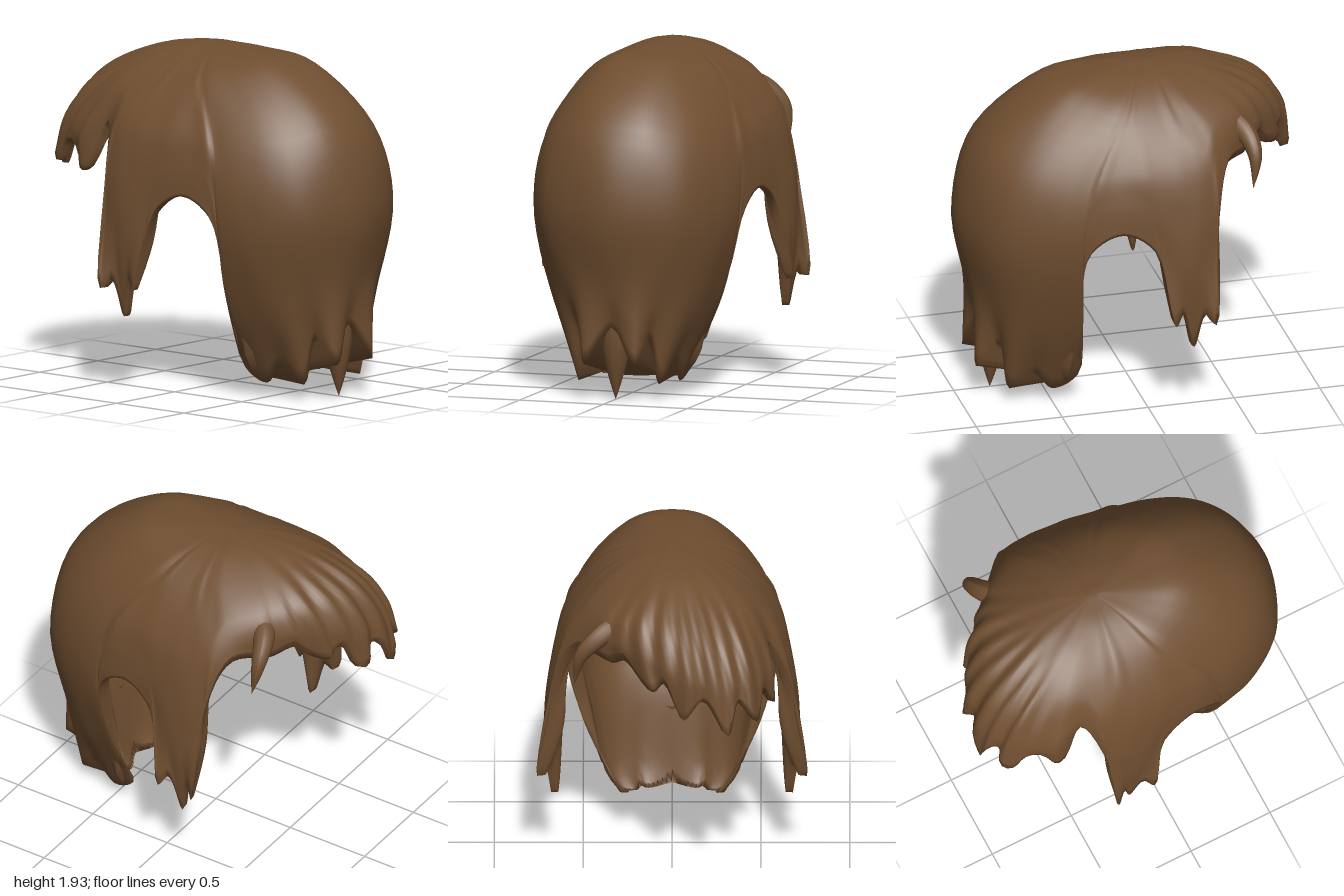
import * as THREE from 'three';
import { mergeVertices } from 'three/addons/utils/BufferGeometryUtils.js';

const V = (p) => new THREE.Vector3(...p);
const { smoothstep, lerp } = THREE.MathUtils;
const CROWN = V([0, 1.93, -0.1]);

// Strand guides, crown to hem, five points each; hems alternate tips and notches.
// Long drape, centre to edge
const drape = [
  [[0, 1.86, 0.48], [0, 1.55, 0.87], [0, 1.1, 1.0], [0, 0.65, 0.92], [0, 0.42, 0.86]],
  [[0.11, 1.86, 0.46], [0.19, 1.54, 0.84], [0.22, 1.09, 0.95], [0.17, 0.63, 0.9], [0.15, 0.21, 0.91]],
  [[0.2, 1.85, 0.41], [0.35, 1.5, 0.75], [0.4, 1.08, 0.85], [0.28, 0.6, 0.83], [0.2, 0.36, 0.79]],
  [[0.28, 1.82, 0.33], [0.44, 1.48, 0.65], [0.5, 1.06, 0.72], [0.38, 0.57, 0.74], [0.24, 0.09, 0.74]],
  [[0.33, 1.8, 0.25], [0.5, 1.46, 0.54], [0.56, 1.05, 0.59], [0.44, 0.55, 0.62], [0.29, 0.2, 0.62]],
  [[0.36, 1.79, 0.19], [0.54, 1.44, 0.44], [0.59, 1.05, 0.5], [0.47, 0.55, 0.5], [0.28, 0.08, 0.5]],
  [[0.38, 1.78, 0.15], [0.565, 1.42, 0.36], [0.605, 1.05, 0.42], [0.49, 0.55, 0.4], [0.31, 0.16, 0.36]],
  [[0.385, 1.775, 0.12], [0.565, 1.45, 0.33], [0.605, 1.2, 0.38], [0.6, 0.97, 0.4], [0.54, 0.7, 0.4]],
  [[0.39, 1.77, 0.1], [0.57, 1.48, 0.29], [0.61, 1.3, 0.32], [0.62, 1.17, 0.34], [0.62, 1.05, 0.36]],
];
// Ear arch, sidelock with three tips, temple arch
const side = [
  [[0.4, 1.77, 0.07], [0.57, 1.5, 0.2], [0.62, 1.35, 0.2], [0.64, 1.25, 0.19], [0.65, 1.155, 0.18]],
  [[0.4, 1.77, 0.03], [0.6, 1.5, 0.05], [0.65, 1.32, 0.03], [0.67, 1.18, 0.01], [0.68, 1.04, 0]],
  [[0.4, 1.77, 0], [0.605, 1.5, -0.03], [0.67, 1.25, -0.04], [0.69, 1.0, -0.05], [0.75, 0.6, -0.1]],
  [[0.4, 1.77, -0.05], [0.61, 1.5, -0.09], [0.68, 1.23, -0.1], [0.71, 0.95, -0.12], [0.72, 0.66, -0.15]],
  [[0.4, 1.77, -0.1], [0.615, 1.5, -0.15], [0.69, 1.2, -0.17], [0.72, 0.88, -0.2], [0.68, 0.43, -0.22]],
  [[0.4, 1.775, -0.15], [0.6, 1.53, -0.22], [0.69, 1.22, -0.25], [0.71, 0.95, -0.27], [0.72, 0.64, -0.28]],
  [[0.39, 1.78, -0.18], [0.59, 1.55, -0.28], [0.67, 1.25, -0.33], [0.7, 0.95, -0.34], [0.76, 0.59, -0.33]],
  [[0.38, 1.79, -0.23], [0.555, 1.6, -0.33], [0.61, 1.48, -0.36], [0.645, 1.36, -0.37], [0.67, 1.2, -0.37]],
  [[0.35, 1.81, -0.27], [0.475, 1.69, -0.38], [0.51, 1.62, -0.42], [0.53, 1.56, -0.44], [0.54, 1.5, -0.46]],
];
// Fringe tips, swept to one side
const fringe = [
  [[0.24, 1.85, -0.36], [0.34, 1.76, -0.5], [0.38, 1.69, -0.56], [0.39, 1.6, -0.6], [0.37, 1.5, -0.62]],
  [[0.12, 1.88, -0.43], [0.18, 1.8, -0.61], [0.2, 1.72, -0.71], [0.18, 1.6, -0.79], [0.12, 1.4, -0.85]],
  [[0, 1.89, -0.46], [0, 1.8, -0.68], [-0.02, 1.69, -0.83], [-0.05, 1.52, -0.93], [-0.07, 1.26, -0.96]],
  [[-0.1, 1.89, -0.46], [-0.18, 1.79, -0.68], [-0.24, 1.65, -0.85], [-0.29, 1.46, -0.95], [-0.32, 1.19, -1]],
  [[-0.22, 1.87, -0.42], [-0.32, 1.76, -0.6], [-0.4, 1.62, -0.76], [-0.45, 1.46, -0.85], [-0.48, 1.23, -0.9]],
  [[-0.3, 1.84, -0.35], [-0.43, 1.72, -0.49], [-0.52, 1.55, -0.58], [-0.57, 1.4, -0.63], [-0.58, 1.2, -0.61]],
];

// Notched guide midway between two fringe tips
function notch(a, b) {
  const mid = a.map((p, i) => p.map((v, k) => (v + b[i][k]) / 2));
  mid[4] = mid[4].map((v, k) => lerp(v, mid[3][k], 0.65));
  return mid;
}

// Inner face of the hair: thick sidelocks, filled drape bottom, thin tips
function inward(p, t) {
  const q = p.clone();
  const inDrape = smoothstep(p.z, 0.3, 0.45);
  const low = 1 - smoothstep(p.y, 0.1, 1.2);
  const sidelock = (1 - inDrape) * (1 - smoothstep(p.y, 0.8, 1.2));
  q.x *= lerp(0.87 - 0.07 * sidelock, 0.94, (1 - inDrape) * t ** 6);
  q.z *= lerp(0.94, 0.97, t ** 6);
  q.y -= 0.06 * smoothstep(p.y, 1.2, 1.6);
  q.z = lerp(q.z, 0.42, inDrape * low * 0.9);
  q.y = lerp(q.y, 0.1, inDrape * (1 - smoothstep(p.y, 0.4, 0.7)) * t ** 4);
  return q;
}

function hairCap() {
  const SUB = 5, ROWS = 32;
  const half = [...drape, ...side];
  const mirrored = half.slice(1).reverse().map((g) => g.map(([x, y, z]) => [-x, y, z]));
  const bangs = fringe.flatMap((g, i) => (i ? [notch(fringe[i - 1], g), g] : [g]));
  const guides = [...half, ...bangs, ...mirrored].map((g) => {
    const pts = g.map(V);
    const dome = CROWN.clone().lerp(pts[0], 0.5);
    dome.y = lerp(CROWN.y, pts[0].y, 0.25);
    return new THREE.CatmullRomCurve3([CROWN, dome, ...pts]);
  });
  const cols = guides.length * SUB, span = 2 * ROWS + 2;
  const pos = new Float32Array(cols * span * 3), index = [];
  for (let r = 0; r <= ROWS; r++) {
    const t = r / ROWS;
    const ring = new THREE.CatmullRomCurve3(guides.map((g) => g.getPoint(t)), true);
    for (let c = 0; c < cols; c++) {
      const p = r === 0 ? CROWN.clone() : ring.getPoint(c / cols);
      // combed ridges in the fringe
      const comb = 0.014 * smoothstep(-p.z, 0.45, 0.75) * t * Math.sin(c * 1.1 + t * 5);
      p.y += comb;
      p.z -= comb;
      p.toArray(pos, (c * span + r) * 3);
      inward(p, t).toArray(pos, (c * span + span - 1 - r) * 3);
    }
  }
  for (let c = 0; c < cols; c++) {
    for (let r = 0; r < span - 1; r++) {
      const a = c * span + r, b = ((c + 1) % cols) * span + r;
      index.push(a, a + 1, b + 1, a, b + 1, b);
    }
  }
  let geo = new THREE.BufferGeometry();
  geo.setAttribute('position', new THREE.BufferAttribute(pos, 3));
  geo.setIndex(index);
  geo = mergeVertices(geo, 1e-5);
  geo.computeVertexNormals();
  return geo;
}

// Pointed lock: a tube narrowed toward its tip
function lockGeometry(points, radius) {
  const SEG = 16, SIDES = 12;
  const curve = new THREE.CatmullRomCurve3(points.map(V));
  const geo = new THREE.TubeGeometry(curve, SEG, radius, SIDES);
  const pos = geo.attributes.position, p = new THREE.Vector3();
  for (let i = 0; i < pos.count; i++) {
    const t = Math.floor(i / (SIDES + 1)) / SEG;
    p.fromBufferAttribute(pos, i).lerp(curve.getPointAt(t), t ** 1.8);
    pos.setXYZ(i, p.x, p.y, p.z);
  }
  geo.computeVertexNormals();
  return geo;
}

export function createModel() {
  const group = new THREE.Group();
  const mat = new THREE.MeshStandardMaterial({ color: 0x6f4e30, side: THREE.DoubleSide });
  const add = (name, geo) => {
    const mesh = new THREE.Mesh(geo, mat);
    mesh.name = name;
    group.add(mesh);
  };
  add('hairCap', hairCap());
  add('drapeCentreLock', lockGeometry([[0, 0.55, 0.74], [0, 0.27, 0.78], [0, 0, 0.79]], 0.11));
  add('looseLock', lockGeometry([[0.28, 1.66, -0.5], [0.41, 1.6, -0.59], [0.51, 1.5, -0.62], [0.55, 1.31, -0.6]], 0.07));
  return group;
}
